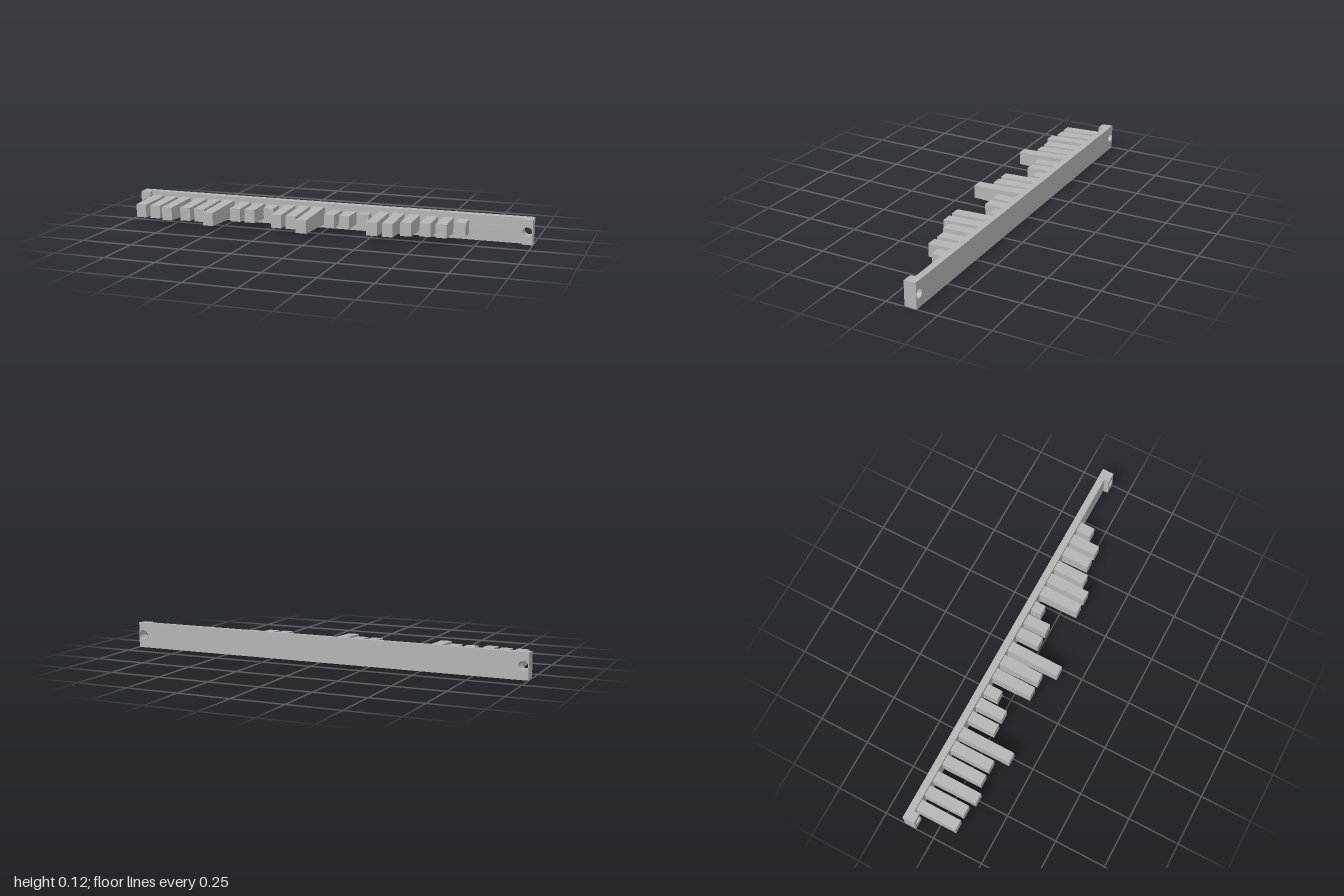
import * as THREE from 'three';

const MID = 0.0635;              // shared centre height
const BACK = -0.149, FACE = -0.116, BLOCK_FACE = -0.091;
const TIP_HALF = 0.032;          // half height of every tooth at its tip
const STEP = 0.0212;             // tooth lengths go in equal steps

// Vertical draft: scale heights about MID by a factor that depends on z
function draft(geometry, factorAt) {
  const p = geometry.attributes.position;
  for (let i = 0; i < p.count; i++) {
    p.setY(i, MID + (p.getY(i) - MID) * factorAt(p.getZ(i)));
  }
  geometry.computeVertexNormals();
  return geometry;
}

// Rectangle pierced by round screw holes, extruded from z0 to z1
function piercedSlab(x0, x1, holes, z0, z1) {
  const half = 0.0625;
  const shape = new THREE.Shape();
  shape.moveTo(x0, MID - half);
  shape.lineTo(x1, MID - half);
  shape.lineTo(x1, MID + half);
  shape.lineTo(x0, MID + half);
  shape.closePath();
  for (const x of holes) {
    const hole = new THREE.Path();
    hole.absarc(x, MID + 0.002, 0.022, 0, Math.PI * 2, true);
    shape.holes.push(hole);
  }
  const g = new THREE.ExtrudeGeometry(shape, { depth: z1 - z0, bevelEnabled: false, curveSegments: 12 });
  g.translate(0, 0, z0);
  return draft(g, z => 1 - (z - BACK) * 0.85);
}

export function createModel() {
  const model = new THREE.Group();
  model.name = 'toothedBar';
  const grey = new THREE.MeshStandardMaterial({ color: 0xb4b4b4 });
  grey.name = 'grey';
  const add = (name, geometry) => {
    const mesh = new THREE.Mesh(geometry, grey);
    mesh.name = name;
    model.add(mesh);
  };

  // Long back plate and the raised blocks at its ends
  add('backPlate', piercedSlab(-1, 1, [-0.975, 0.975], BACK, FACE));
  add('leftEndBlock', piercedSlab(0.95, 1, [0.975], FACE, BLOCK_FACE));
  add('rightEndBlock', piercedSlab(-1, -0.95, [-0.975], FACE, BLOCK_FACE));

  // Seven groups of three teeth; each number is how many steps short of the longest
  const groups = [
    [3, 3, 2], [3, 3, 0], [6, 6, 9], [3, 3, 0], [7, 7, 10], [3, 3, 5], [6, 6, 9],
  ];
  groups.forEach((steps, g) => {
    steps.forEach((s, t) => {
      const x = -0.91 + g * 0.2385 + t * 0.0755;
      const tip = 0.149 - s * STEP;
      const base = FACE - 0.002;
      const slope = g === 4 ? 0 : 0.04;
      const box = new THREE.BoxGeometry(0.052, TIP_HALF * 2, tip - base);
      box.translate(x, MID + 0.0005, (tip + base) / 2);
      add('tooth' + (g * 3 + t + 1), draft(box, z => 1 + (tip - z) * slope / TIP_HALF));
    });
  });

  return model;
}
